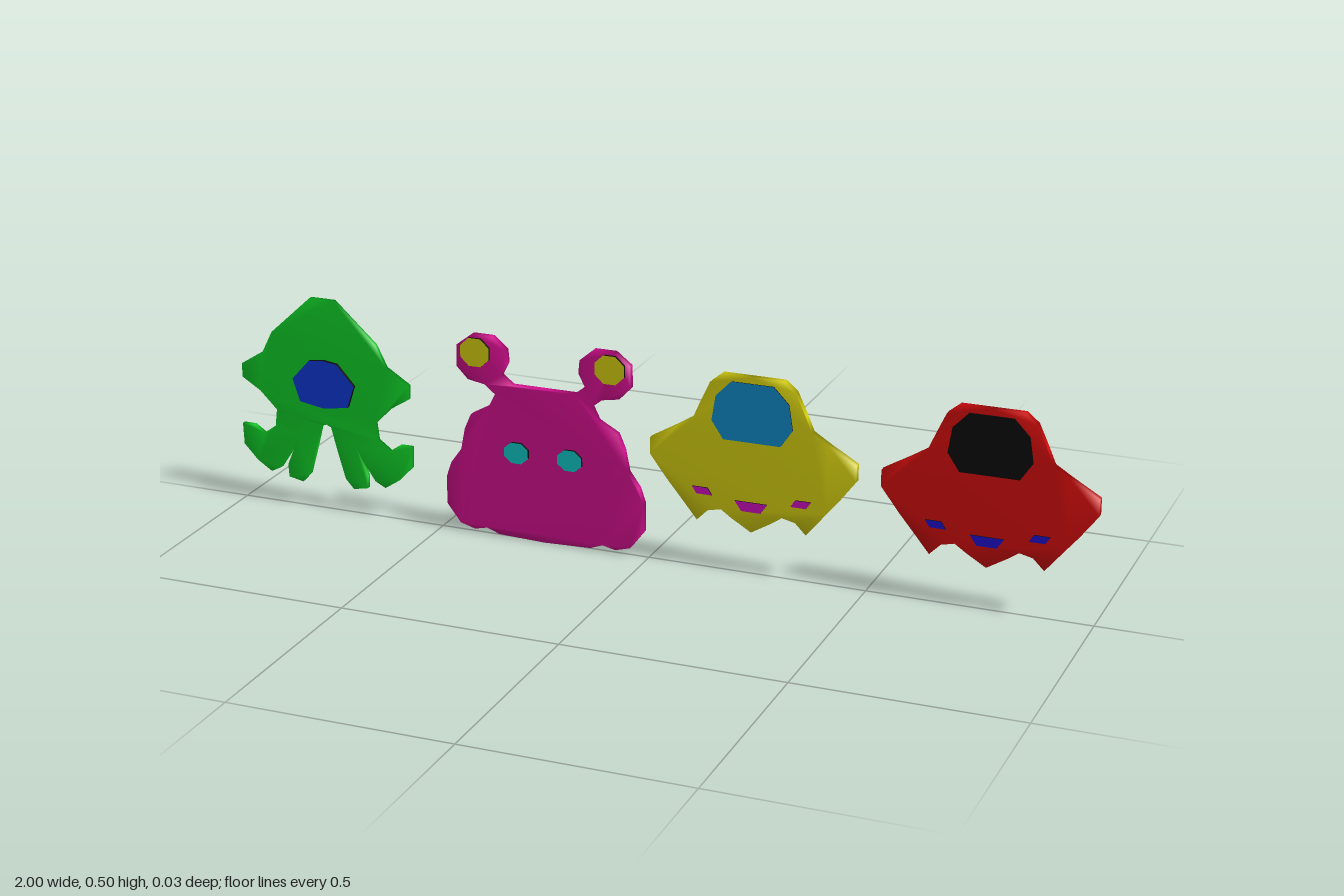
import * as THREE from 'three';
import { mergeVertices } from 'three/addons/utils/BufferGeometryUtils.js';

const paint = (name, color) => {
  const m = new THREE.MeshStandardMaterial({ color });
  m.name = name;
  return m;
};

// Closed outline from its right half (listed top to bottom), mirrored about x = 0
function mirroredShape(half) {
  const right = half.map(([x, y]) => new THREE.Vector2(x, y));
  const left = half.filter(([x]) => x > 0).reverse().map(([x, y]) => new THREE.Vector2(-x, y));
  return new THREE.Shape([...right, ...left]);
}

function slab(shape, depth) {
  const geo = new THREE.ExtrudeGeometry(shape, { depth, bevelEnabled: false });
  geo.translate(0, 0, -depth / 2);
  return geo;
}

// Body cut-out with softly shaded rims
function body(name, half, depth, material) {
  let geo = slab(mirroredShape(half), depth);
  geo.deleteAttribute('normal');
  geo.deleteAttribute('uv');
  geo.clearGroups();
  geo = mergeVertices(geo, 1e-5);
  geo.computeVertexNormals();
  const mesh = new THREE.Mesh(geo, material);
  mesh.name = name;
  return mesh;
}

// Inlay that shows on both faces, with a dark rim
function inlay(name, shape, depth, material, rim) {
  const mesh = new THREE.Mesh(slab(shape, depth), [material, rim]);
  mesh.name = name;
  return mesh;
}

// Eight-sided eye disc
function disc(x, y, rx, ry) {
  const pts = [];
  for (let i = 0; i < 8; i++) {
    const a = (i + 0.5) * Math.PI / 4;
    pts.push(new THREE.Vector2(x + rx * Math.cos(a), y + ry * Math.sin(a)));
  }
  return new THREE.Shape(pts);
}

const SQUID = [
  [0, 0.502], [0.03, 0.502], [0.13, 0.41], [0.155, 0.36], [0.21, 0.325], [0.21, 0.293],
  [0.165, 0.265], [0.125, 0.225], [0.13, 0.185], [0.16, 0.163], [0.185, 0.18], [0.215, 0.18],
  [0.213, 0.13], [0.18, 0.095], [0.145, 0.072], [0.12, 0.085], [0.09, 0.13], [0.072, 0.165],
  [0.102, 0.095], [0.1, 0.065], [0.065, 0.058], [0.045, 0.08], [0.025, 0.15], [0.012, 0.2], [0, 0.205]];
const SQUID_EYE = [[0, 0.36], [0.035, 0.355], [0.077, 0.308], [0.06, 0.256], [0, 0.246]];

const BLOB = [
  [0, 0.36], [0.075, 0.36], [0.1, 0.38], [0.085, 0.41], [0.088, 0.44], [0.12, 0.467],
  [0.17, 0.467], [0.205, 0.44], [0.207, 0.39], [0.18, 0.362], [0.14, 0.355], [0.115, 0.335],
  [0.13, 0.305], [0.175, 0.28], [0.19, 0.245], [0.2, 0.195], [0.225, 0.16], [0.237, 0.125],
  [0.237, 0.06], [0.205, 0.018], [0.17, 0.008], [0.14, 0.015], [0.11, 0.004], [0, 0]];

const SAUCER = [
  [0, 0.452], [0.07, 0.452], [0.097, 0.43], [0.12, 0.38], [0.135, 0.345], [0.17, 0.323],
  [0.235, 0.285], [0.235, 0.248], [0.195, 0.195], [0.17, 0.165], [0.125, 0.11], [0.1, 0.135],
  [0.07, 0.142], [0.045, 0.125], [0, 0.098]];
const CANOPY = [[0, 0.438], [0.048, 0.438], [0.083, 0.402], [0.092, 0.345], [0.065, 0.305], [0, 0.305]];
const MIDDLE_LIGHT = [[0, 0.168], [0.037, 0.168], [0.022, 0.146], [0, 0.146]];

export function createModel() {
  const green = paint('green', 0x10d028);
  const magenta = paint('magenta', 0xd60f90);
  const yellow = paint('yellow', 0xd8d210);
  const red = paint('red', 0xd80d0d);
  const blue = paint('eye blue', 0x1038d8);
  const sky = paint('glass blue', 0x108ccc);
  const cyan = paint('cyan', 0x10c8c8);
  const black = paint('black', 0x0a0a0a);
  const indigo = paint('indigo', 0x2010d0);
  const violet = paint('light violet', 0xd010c0);

  const model = new THREE.Group();
  const addFigure = (name, x, ...parts) => {
    const g = new THREE.Group();
    g.name = name;
    g.position.x = x;
    g.add(...parts);
    model.add(g);
  };

  // One-eyed tentacled alien
  addFigure('tentacledAlien', -0.785,
    body('tentacledBody', SQUID, 0.01, green),
    inlay('singleEye', mirroredShape(SQUID_EYE), 0.026, blue, black));

  // Stalk-eyed blob alien
  const eyes = [];
  for (const s of [-1, 1]) {
    eyes.push(inlay('stalkEye', disc(s * 0.16, 0.428, 0.037, 0.035), 0.028, yellow, black));
    eyes.push(inlay('faceEye', disc(s * 0.064, 0.205, 0.031, 0.026), 0.028, cyan, black));
  }
  addFigure('blobAlien', -0.247, body('blobBody', BLOB, 0.016, magenta), ...eyes);

  // Two flying saucers with canopy and three lights
  const addSaucer = (name, x, hull, glass, light) => {
    const lights = [-1, 1].map(s => {
      const pts = [[0.09, 0.172], [0.125, 0.172], [0.136, 0.188], [0.1, 0.188]]
        .map(([px, py]) => new THREE.Vector2(s * px, py));
      return inlay('sideLight', new THREE.Shape(pts), 0.022, light, black);
    });
    addFigure(name, x,
      body('saucerHull', SAUCER, 0.016, hull),
      inlay('canopy', mirroredShape(CANOPY), 0.021, glass, black),
      inlay('middleLight', mirroredShape(MIDDLE_LIGHT), 0.022, light, black),
      ...lights);
  };
  addSaucer('yellowSaucer', 0.24, yellow, sky, violet);
  addSaucer('redSaucer', 0.765, red, black, indigo);

  return model;
}
